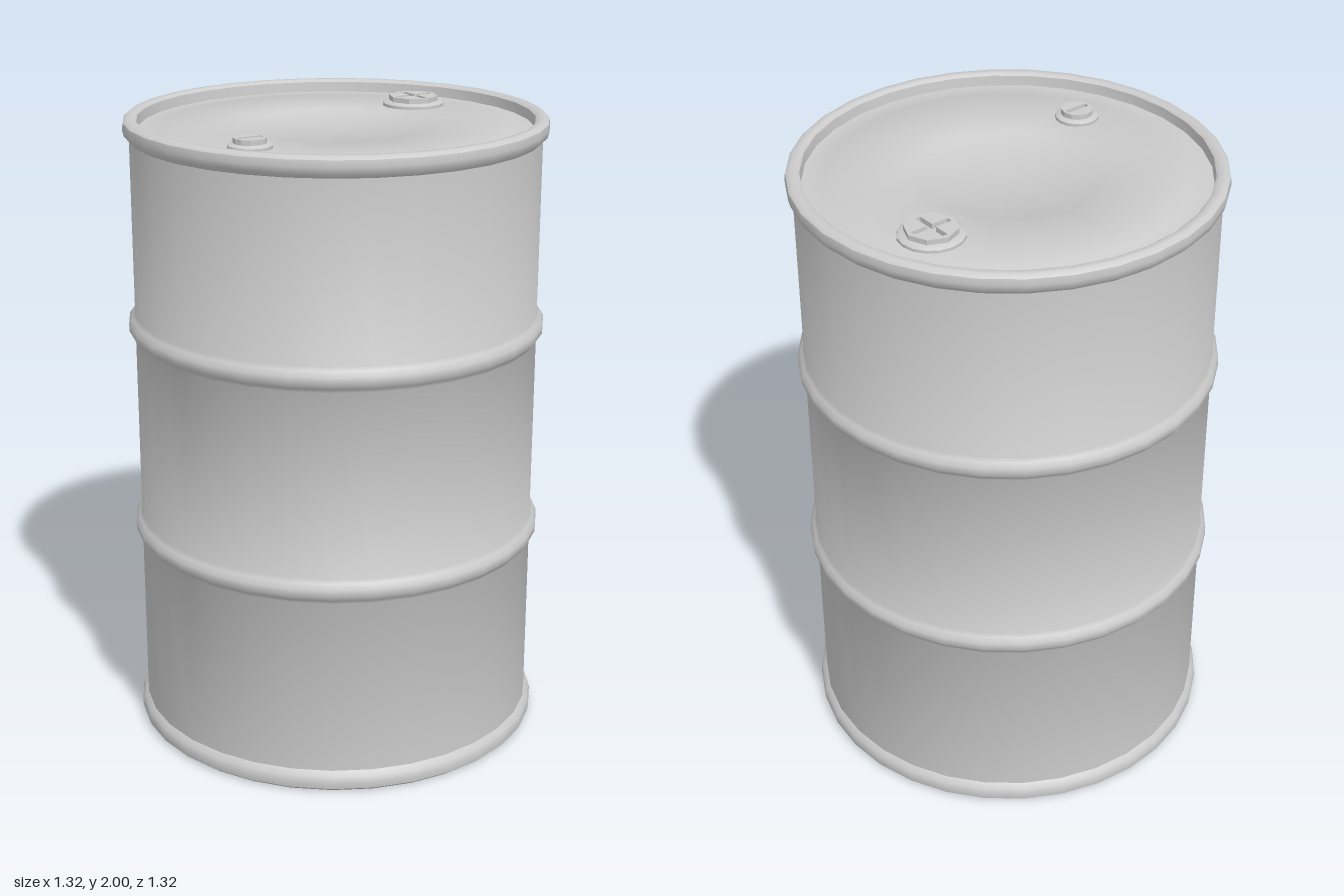
import * as THREE from 'three';
import { toCreasedNormals } from 'three/addons/utils/BufferGeometryUtils.js';

const SIDES = 32;
const BODY = 0.64;
const LID_Y = 1.96;

// Revolve a profile around y, keeping strong edges sharp
function lathe(points, sides) {
  const g = new THREE.LatheGeometry(points.map(([r, y]) => new THREE.Vector2(r, y)), sides);
  return toCreasedNormals(g, 0.7);
}

// Outline of a slot: a single bar, or a cross made of two bars
function slotPath(half, w, cross) {
  const pts = cross
    ? [[half, -w], [half, w], [w, w], [w, half], [-w, half], [-w, w],
       [-half, w], [-half, -w], [-w, -w], [-w, -half], [w, -half], [w, -w]]
    : [[half, -w], [half, w], [-half, w], [-half, -w]];
  return new THREE.Path(pts.map(([x, y]) => new THREE.Vector2(x, y)));
}

// Screw plug: stepped collar with a slotted cap
function makePlug(name, material, { radius, capRadius, capSides, slot, slotWidth, cross }) {
  const plug = new THREE.Group();
  plug.name = name;

  const collar = new THREE.Mesh(lathe([
    [radius, 0], [radius, 0.012], [radius - 0.008, 0.018], [0, 0.018],
  ], 16), material);
  collar.name = name + 'Collar';

  const shape = new THREE.Shape();
  for (let i = 0; i < capSides; i++) {
    const a = (i / capSides) * Math.PI * 2;
    const x = Math.cos(a) * capRadius, y = Math.sin(a) * capRadius;
    if (i === 0) shape.moveTo(x, y); else shape.lineTo(x, y);
  }
  shape.closePath();
  shape.holes.push(slotPath(slot, slotWidth, cross));
  const capGeometry = new THREE.ExtrudeGeometry(shape, { depth: 0.016, bevelEnabled: false });
  capGeometry.rotateX(-Math.PI / 2);
  const cap = new THREE.Mesh(capGeometry, material);
  cap.name = name + 'Cap';
  cap.position.y = 0.018;

  plug.add(collar, cap);
  return plug;
}

export function createModel() {
  const model = new THREE.Group();
  model.name = 'drum';
  const steel = new THREE.MeshStandardMaterial({ color: 0xcccccc });
  steel.name = 'greySteel';

  // Rounded rolling hoop pressed out of the wall
  const hoop = (y) => [
    [BODY, y - 0.04], [0.648, y - 0.028], [0.66, y - 0.012],
    [0.66, y + 0.012], [0.648, y + 0.028], [BODY, y + 0.04],
  ];

  // Wall with hoops and rolled rims at both ends
  const shell = new THREE.Mesh(lathe([
    [0.612, 0.03], [0.615, 0.008], [0.625, 0], [0.645, 0], [0.657, 0.01], [0.66, 0.03],
    [0.655, 0.05], [BODY, 0.065],
    ...hoop(0.675), ...hoop(1.345),
    [BODY, 1.935], [0.655, 1.95], [0.66, 1.97], [0.657, 1.99], [0.645, 2], [0.625, 2],
    [0.615, 1.992], [0.612, LID_Y],
  ], SIDES), steel);
  shell.name = 'shell';

  // Recessed ends with a faint raised ring step
  const lid = new THREE.Mesh(lathe([
    [0.612, LID_Y], [0.55, LID_Y], [0.545, LID_Y + 0.003], [0.29, LID_Y + 0.003],
    [0.285, LID_Y], [0, LID_Y],
  ], SIDES), steel);
  lid.name = 'lid';
  const base = new THREE.Mesh(lathe([
    [0, 0.03], [0.325, 0.03], [0.33, 0.027], [0.612, 0.027],
  ], SIDES), steel);
  base.name = 'base';

  // Large filler plug and small vent plug
  const filler = makePlug('fillerPlug', steel, {
    radius: 0.1, capRadius: 0.08, capSides: 8, slot: 0.064, slotWidth: 0.009, cross: true,
  });
  filler.position.set(0.4, LID_Y, -0.16);
  const vent = makePlug('ventPlug', steel, {
    radius: 0.068, capRadius: 0.05, capSides: 12, slot: 0.04, slotWidth: 0.009, cross: false,
  });
  vent.position.set(-0.4, LID_Y, 0.16);

  model.add(shell, lid, base, filler, vent);
  return model;
}
